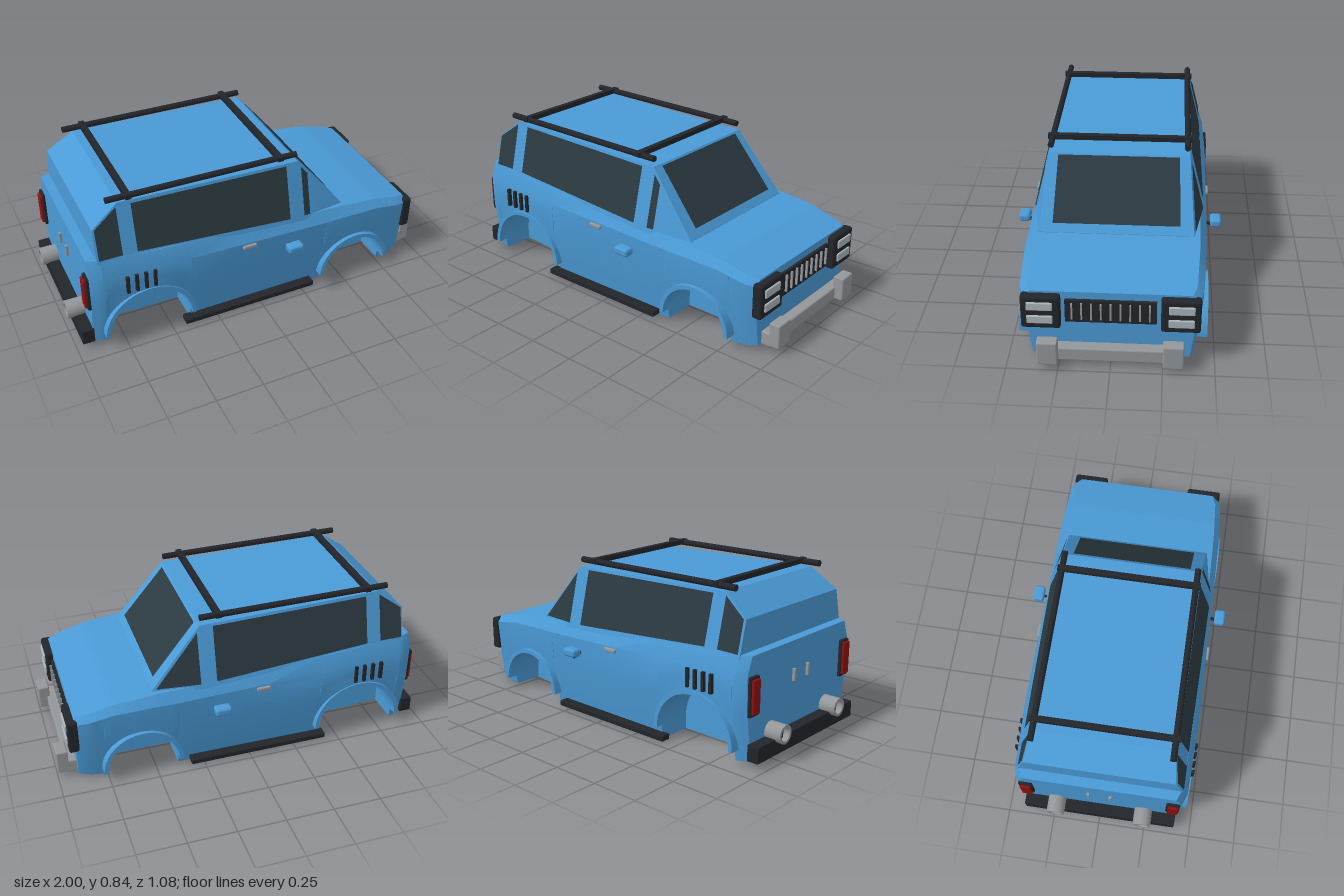
import * as THREE from 'three';
import { toCreasedNormals } from 'three/addons/utils/BufferGeometryUtils.js';
import { RoundedBoxGeometry } from 'three/addons/geometries/RoundedBoxGeometry.js';

const mat = (color, side = THREE.FrontSide) => new THREE.MeshStandardMaterial({ color, side });
const BLUE = mat(0x4a9ad6), BLACK = mat(0x22252a), GLASS = mat(0x2b3a41, THREE.DoubleSide);
const GREY = mat(0x94979a), LAMP = mat(0xaab4ba), RED = mat(0x8e1010);

// Piecewise linear lookup in a list of [x, value] pairs
function curve(pts, x) {
  for (let i = 1; i < pts.length; i++) {
    const [x0, v0] = pts[i - 1], [x1, v1] = pts[i];
    if (x <= x1) return v0 + (v1 - v0) * Math.max(0, (x - x0) / (x1 - x0));
  }
  return pts[pts.length - 1][1];
}

const WIDTH = [[-0.91, 0.425], [-0.85, 0.45], [-0.5, 0.462], [0.3, 0.456], [0.6, 0.45], [0.84, 0.437], [0.9, 0.415]];
const BELT = [[-0.91, 0.54], [-0.85, 0.54], [0.5, 0.46], [0.7, 0.44], [0.9, 0.39]];
const FLOOR = [[-0.91, 0.02], [-0.6, 0], [0.7, 0], [0.9, 0.03]];
const SHOULDER = [[-0.91, 0.09], [0.4, 0.06], [0.9, 0.03]];
const ARCHES = [{ x: -0.615, y: 0.075, r: 0.225 }, { x: 0.57, y: 0.058, r: 0.19 }];

// Closed skin through half sections of [z, y], mirrored across z = 0
function loft(stations) {
  const rings = stations.map(({ x, half }) => {
    const back = half.slice(1, -1).reverse().map(([z, y]) => [-z, y]);
    return [...half, ...back].map(([z, y]) => [x, y, z]);
  });
  const out = [], n = rings[0].length;
  const tri = (...p) => p.forEach((q) => out.push(...q));
  for (let i = 0; i < rings.length - 1; i++) {
    for (let j = 0; j < n; j++) {
      const k = (j + 1) % n;
      const a = rings[i][j], b = rings[i][k], c = rings[i + 1][k], d = rings[i + 1][j];
      tri(a, d, c);
      tri(a, c, b);
    }
  }
  const first = rings[0], last = rings[rings.length - 1];
  for (let j = 1; j < n - 1; j++) {
    tri(first[0], first[j], first[j + 1]);
    tri(last[0], last[j + 1], last[j]);
  }
  const g = new THREE.BufferGeometry();
  g.setAttribute('position', new THREE.Float32BufferAttribute(out, 3));
  g.computeVertexNormals();
  return toCreasedNormals(g, 0.45);
}

// Section of the lower body; wellTop lifts the outer underside over a wheel
function bodySection(x, wellTop) {
  const w = curve(WIDTH, x), floor = curve(FLOOR, x), belt = curve(BELT, x);
  const low = wellTop ?? floor, shoulder = belt - curve(SHOULDER, x);
  const side = (y) => [w * (0.9 + 0.1 * Math.min(1, y / 0.3)), y];
  return { x, half: [[0, floor], [0.24, floor], [0.24, low], side(low),
    side(low + (shoulder - low) * 0.6), side(shoulder), [w - 0.032, belt], [0, belt]] };
}

function bodyGeometry() {
  const stations = [-0.91, -0.88, -0.85].map((x) => bodySection(x));
  ARCHES.forEach(({ x, y, r }, n) => {
    stations.push(bodySection(x - r));
    for (let i = 0; i <= 20; i++) {
      const a = Math.PI * (1 - i / 20);
      stations.push(bodySection(x + r * Math.cos(a), y + r * Math.sin(a)));
    }
    stations.push(bodySection(x + r));
    if (n === 0) stations.push(...[-0.1, 0.3].map((q) => bodySection(q)));
  });
  stations.push(...[0.8, 0.84, 0.9].map((x) => bodySection(x)));
  return loft(stations);
}

// Leaning plane of the cabin side, drawn in towards the windscreen base
const cabinZ = (x, y) => 0.42 - (y - 0.54) * 0.25 - Math.max(0, x - 0.24) * 0.19;

function cabinGeometry() {
  return loft([[-0.86, 0.7], [-0.72, 0.803], [0.24, 0.777], [0.5, 0.462]].map(([x, top]) => {
    const base = curve(BELT, x) - 0.02;
    return { x, half: [[0, base], [cabinZ(x, base), base], [cabinZ(x, top), top], [0, top]] };
  }));
}

function pane(points) {
  const out = [];
  for (let i = 1; i < points.length - 1; i++) out.push(...points[0], ...points[i], ...points[i + 1]);
  const g = new THREE.BufferGeometry();
  g.setAttribute('position', new THREE.Float32BufferAttribute(out, 3));
  g.computeVertexNormals();
  return g;
}

export function createModel() {
  const car = new THREE.Group();
  car.name = 'offRoadCar';
  const add = (name, geo, material, x = 0, y = 0, z = 0) => {
    const m = new THREE.Mesh(geo, material);
    m.name = name;
    m.position.set(x, y, z);
    car.add(m);
    return m;
  };
  // Box given by its low and high corner, optionally rounded
  const box = (name, material, [x0, x1], [y0, y1], [z0, z1], r = 0) => {
    const s = [x1 - x0, y1 - y0, z1 - z0];
    const g = r ? new RoundedBoxGeometry(...s, 2, r) : new THREE.BoxGeometry(...s);
    return add(name, g, material, (x0 + x1) / 2, (y0 + y1) / 2, (z0 + z1) / 2);
  };
  // The same box on both sides
  const pair = (name, material, xs, ys, [z0, z1], r) => {
    box(name + 'Left', material, xs, ys, [-z1, -z0], r);
    box(name + 'Right', material, xs, ys, [z0, z1], r);
  };

  add('body', bodyGeometry(), BLUE);
  add('cabin', cabinGeometry(), BLUE);

  // Windows
  add('windscreen', pane([[0.252, 0.771, 0.308], [0.252, 0.771, -0.308],
    [0.474, 0.5, -0.32], [0.474, 0.5, 0.32]]), GLASS);
  const sideWindows = {
    rearQuarterWindow: [[-0.85, 0.542], [-0.73, 0.542], [-0.73, 0.787], [-0.85, 0.7]],
    sideWindow: [[-0.655, 0.54], [0.172, 0.485], [0.172, 0.768], [-0.655, 0.787]],
  };
  for (const s of [-1, 1]) {
    const front = s > 0 ? [[0.255, 0.482], [0.292, 0.479], [0.292, 0.7], [0.255, 0.745]]
      : [[0.255, 0.482], [0.478, 0.472], [0.255, 0.745]];
    for (const [name, pts] of Object.entries({ ...sideWindows, frontQuarterWindow: front })) {
      add(name, pane(pts.map(([x, y]) => [x, y, s * (cabinZ(x, y) + 0.005)])), GLASS);
    }
  }

  // Wheel arch flares
  for (const { x, y, r } of ARCHES) {
    const ring = new THREE.Shape();
    ring.absarc(0, 0, r + 0.02, 0, Math.PI, false);
    ring.absarc(0, 0, r - 0.002, Math.PI, 0, true);
    const g = new THREE.ExtrudeGeometry(ring, { depth: 0.065, bevelEnabled: false, curveSegments: 24 });
    add('archFlareRight', g, BLUE, x, y, 0.4);
    add('archFlareLeft', g, BLUE, x, y, -0.465);
  }

  // Roof rack
  for (const s of [-1, 1]) {
    const rail = add('roofRail', new THREE.CylinderGeometry(0.016, 0.016, 1.01, 10), BLACK, -0.27, 0.82, s * 0.347);
    rail.rotation.z = Math.PI / 2 - 0.012;
  }
  box('rackCrossBarRear', BLACK, [-0.68, -0.65], [0.815, 0.841], [-0.37, 0.37]);
  box('rackCrossBarFront', BLACK, [0.125, 0.155], [0.807, 0.833], [-0.37, 0.37]);

  // Headlights and grille
  pair('headlightHousing', BLACK, [0.885, 0.938], [0.2, 0.38], [0.237, 0.425], 0.012);
  pair('upperLamp', LAMP, [0.92, 0.947], [0.307, 0.352], [0.272, 0.396], 0.006);
  pair('lowerLamp', LAMP, [0.92, 0.947], [0.233, 0.277], [0.272, 0.396], 0.006);
  box('grille', BLACK, [0.89, 0.917], [0.23, 0.352], [-0.217, 0.217]);
  for (let i = -4; i <= 4; i++) {
    box('grilleSlat', GREY, [0.91, 0.928], [0.25, 0.34], [i * 0.046 - 0.004, i * 0.046 + 0.004]);
  }

  // Bumpers
  box('frontBumper', GREY, [0.895, 0.955], [0.025, 0.098], [-0.35, 0.35], 0.008);
  pair('bumperPost', GREY, [0.94, 1], [0.03, 0.158], [0.25, 0.35], 0.008);
  box('rearBumper', BLACK, [-0.97, -0.905], [0.03, 0.115], [-0.41, 0.41], 0.006);

  // Hollow rear pipes with dark ends
  const pipe = new THREE.LatheGeometry([[0, -0.045], [0.048, -0.045], [0.048, 0.045], [0.034, 0.045], [0.034, 0.01]]
    .map(([r, y]) => new THREE.Vector2(r, y)), 20);
  for (const z of [-0.235, 0.235]) {
    add('rearPipe', toCreasedNormals(pipe, 0.6), GREY, -0.955, 0.135, z).rotation.z = Math.PI / 2;
    add('pipeBore', new THREE.CylinderGeometry(0.034, 0.034, 0.02, 20), BLACK, -0.955, 0.135, z).rotation.z = Math.PI / 2;
  }

  // Tail lights and tailgate handles
  pair('tailLightFrame', BLACK, [-0.926, -0.9], [0.25, 0.445], [0.35, 0.42], 0.006);
  pair('tailLight', RED, [-0.938, -0.91], [0.262, 0.433], [0.358, 0.412], 0.005);
  pair('tailgateHandle', GREY, [-0.925, -0.905], [0.335, 0.4], [0.05, 0.066], 0.004);

  // Side details
  for (const x of [-0.728, -0.681, -0.633, -0.586]) {
    pair('sideVent', BLACK, [x - 0.008, x + 0.008], [0.335, 0.432], [0.44, 0.472]);
  }
  pair('doorHandle', GREY, [-0.107, -0.033], [0.394, 0.415], [0.44, 0.472], 0.006);
  pair('sideStep', BLACK, [-0.43, 0.32], [0.005, 0.036], [0.41, 0.466], 0.007);
  pair('mirror', BLUE, [0.122, 0.208], [0.334, 0.377], [0.48, 0.538], 0.014);
  for (const s of [-1, 1]) {
    const arm = add('mirrorArm', new THREE.CylinderGeometry(0.009, 0.009, 0.07, 8), BLACK, 0.162, 0.336, s * 0.468);
    arm.rotation.x = s * (Math.PI / 2 - 0.3);
    arm.rotation.x *= -1;
    arm.rotation.x += s * Math.PI;
  }
  return car;
}
